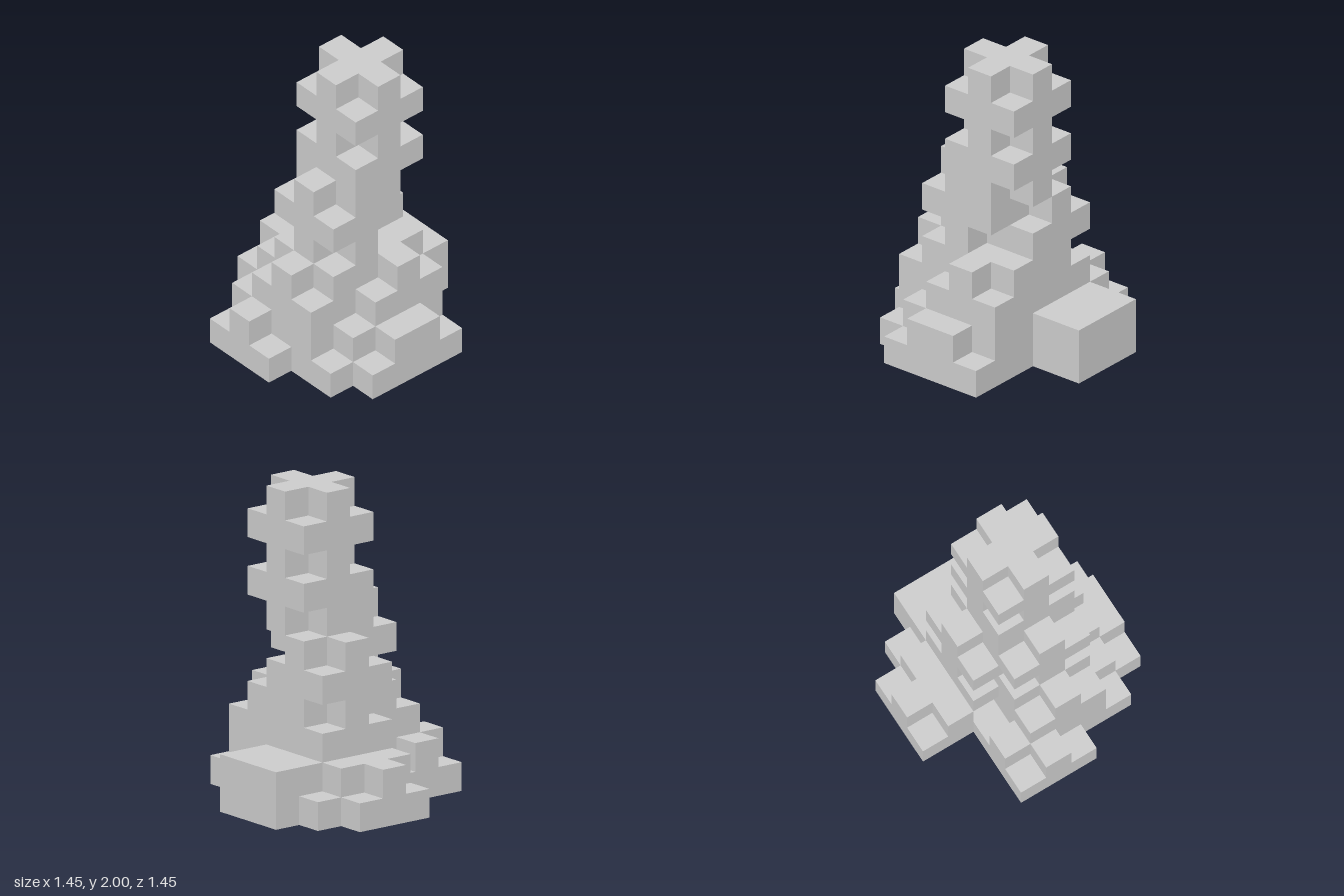
import * as THREE from 'three';
import { mergeGeometries } from 'three/addons/utils/BufferGeometryUtils.js';

const U = 2 / 11; // one block

// Centres of the rounded 3x3x3 block clusters (a cube without its 8 corners)
const PARTS = {
  tower: [[0, 9, -1], [0, 7, -1], [0, 5, 0]],
  leftUpperFlank: [[1, 2, -1]],
  rightUpperFlank: [[-1, 4, -1], [-1, 2, -1]],
  frontUpperFlank: [[0, 2, 1]],
  leftFoot: [[2, 0, 0], [2, 0, -1], [1, 0, 1]],
  rightFoot: [[-3, 0, -1], [-2, 0, -2]],
  frontFoot: [[-1, 0, 2]],
};

const key = (x, y, z) => `${x},${y},${z}`;

function fillBlocks() {
  const cells = new Map();
  const put = (name, x, y, z) => {
    const k = key(x, y, z);
    if (y >= 0 && !cells.has(k)) cells.set(k, { name, p: [x, y, z] });
  };
  const box = (name, x0, x1, y0, y1, z0, z1) => {
    for (let x = x0; x <= x1; x++)
      for (let y = y0; y <= y1; y++)
        for (let z = z0; z <= z1; z++) put(name, x, y, z);
  };
  for (const [name, centres] of Object.entries(PARTS)) {
    for (const [cx, cy, cz] of centres) {
      for (let x = -1; x <= 1; x++)
        for (let y = -1; y <= 1; y++)
          for (let z = -1; z <= 1; z++)
            if (x * x + y * y + z * z <= 2) put(name, cx + x, cy + y, cz + z);
    }
  }
  box('rearBlock', -2, 0, 0, 1, -4, -3);
  // solid inside and the flush rear wall
  box('core', -1, 1, 0, 2, -2, 0);
  box('core', 0, 0, 3, 3, -2, 0);
  box('core', -1, 0, 4, 4, -1, 0);
  return cells;
}

// One outward square per direction, placed on the side of a unit block
function sideFaces() {
  const half = Math.PI / 2;
  const turns = [
    [[1, 0, 0], 0, half], [[-1, 0, 0], 0, -half],
    [[0, 1, 0], -half, 0], [[0, -1, 0], half, 0],
    [[0, 0, 1], 0, 0], [[0, 0, -1], 0, Math.PI],
  ];
  return turns.map(([dir, rx, ry]) => {
    const face = new THREE.PlaneGeometry(U, U);
    face.translate(0, 0, U / 2).rotateX(rx).rotateY(ry);
    return { dir, face };
  });
}

export function createModel() {
  const group = new THREE.Group();
  group.name = 'blockTower';
  const material = new THREE.MeshStandardMaterial({ color: 0xcccccc, flatShading: true });
  const cells = fillBlocks();
  const sides = sideFaces();

  // Only the exposed sides of each part's blocks are kept
  const faces = {};
  for (const { name, p: [x, y, z] } of cells.values()) {
    for (const { dir, face } of sides) {
      if (cells.has(key(x + dir[0], y + dir[1], z + dir[2]))) continue;
      const f = face.clone().translate((x + 0.5) * U, (y + 0.5) * U, (z + 0.5) * U);
      (faces[name] ??= []).push(f);
    }
  }
  for (const [name, list] of Object.entries(faces)) {
    const mesh = new THREE.Mesh(mergeGeometries(list), material);
    mesh.name = name;
    group.add(mesh);
  }
  return group;
}
